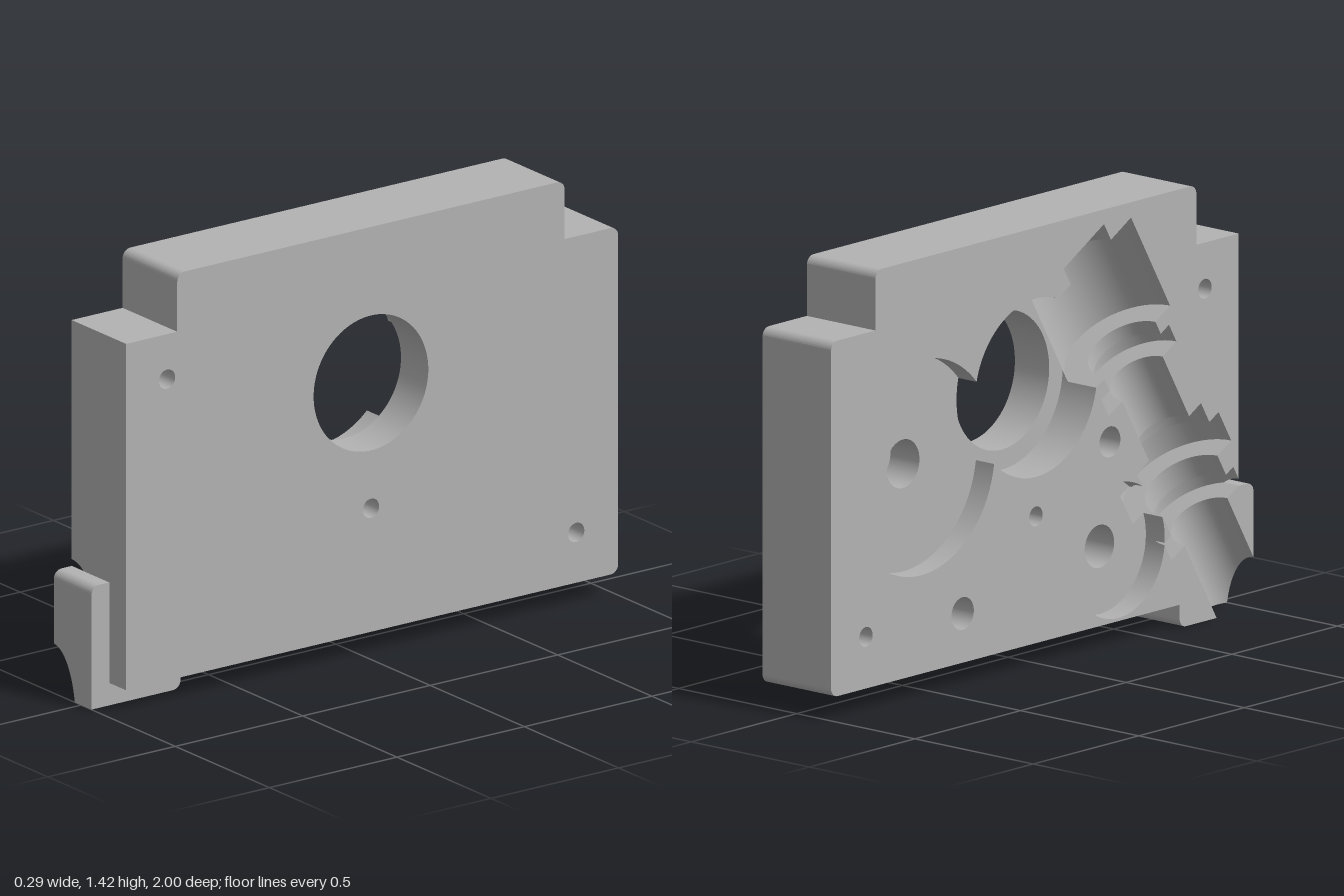
import * as THREE from 'three';

const V = (x, y, z) => new THREE.Vector3(x, y, z);
const T = 0.145; // half thickness of the plate; cavities open on the -x face
const EPS = 1e-6;

// Convex solid between two matching loops; sideNormal gives smooth side normals
function convex(a, b, sideNormal) {
  const n = a.length;
  const mid = V(0, 0, 0);
  [...a, ...b].forEach(p => mid.addScaledVector(p, 0.5 / n));
  const loops = [a, b, ...a.map((p, i) => [p, a[(i + 1) % n], b[(i + 1) % n], b[i]])];
  const faces = loops.map((loop, k) => {
    let pts = loop.slice();
    const m = pts.length;
    const plane = new THREE.Plane().setFromCoplanarPoints(pts[0], pts[Math.floor(m / 3)], pts[Math.floor(2 * m / 3)]);
    if (plane.distanceToPoint(mid) > 0) {
      plane.negate();
      pts.reverse();
    }
    return { pts, plane, normal: k > 1 && sideNormal ? sideNormal : () => plane.normal };
  });
  return { faces, planes: faces.map(f => f.plane) };
}

// Cylinder between two points
function cylinder(p, q, r, sides = 64) {
  const axis = q.clone().sub(p).normalize();
  const e1 = Math.abs(axis.x) > 0.9 ? V(0, 1, 0) : V(1, 0, 0);
  const e2 = axis.clone().cross(e1);
  const ring = c => Array.from({ length: sides }, (_, i) => {
    const t = (i + 0.5) / sides * Math.PI * 2;
    return c.clone().addScaledVector(e1, r * Math.cos(t)).addScaledVector(e2, r * Math.sin(t));
  });
  return convex(ring(p), ring(q), v => {
    const d = v.clone().sub(p);
    return d.addScaledVector(axis, -d.dot(axis)).normalize();
  });
}

// Slab in the z-y plane; radii for corners (z0,y0), (z1,y0), (z1,y1), (z0,y1)
function slab(z0, z1, y0, y1, x0, x1, radii) {
  const corners = [[z0, y0, 1, 1], [z1, y0, -1, 1], [z1, y1, -1, -1], [z0, y1, 1, -1]];
  const outline = [];
  corners.forEach(([z, y, sz, sy], k) => {
    const r = radii[k];
    if (!r) { outline.push([z, y]); return; }
    for (let i = 0; i <= 8; i++) {
      const t = Math.PI * (1 + k / 2 + i / 16);
      outline.push([z + sz * r + r * Math.cos(t), y + sy * r + r * Math.sin(t)]);
    }
  });
  const at = x => outline.map(([z, y]) => V(x, y, z));
  return convex(at(x0), at(x1));
}

// Split a polygon by a plane into [outside, inside]
function split(pts, plane) {
  const d = pts.map(p => plane.distanceToPoint(p));
  if (d.every(v => v <= EPS)) return [null, pts];
  if (d.every(v => v >= -EPS)) return [pts, null];
  const out = [], inn = [];
  pts.forEach((p, i) => {
    const j = (i + 1) % pts.length;
    if (d[i] >= -EPS) out.push(p);
    if (d[i] <= EPS) inn.push(p);
    if ((d[i] > EPS && d[j] < -EPS) || (d[i] < -EPS && d[j] > EPS)) {
      const c = p.clone().lerp(pts[j], d[i] / (d[i] - d[j]));
      out.push(c);
      inn.push(c);
    }
  });
  return [out, inn];
}

// Part of a polygon inside a convex solid, and the pieces outside it
function clip(pts, solid) {
  const outside = [];
  let inside = pts;
  for (const plane of solid.planes) {
    const [o, i] = split(inside, plane);
    if (o) outside.push(o);
    if (!i) return { inside: null, outside: [pts] };
    inside = i;
  }
  return { inside, outside };
}
const removeAll = (polys, solids) =>
  solids.reduce((list, s) => list.flatMap(p => clip(p, s).outside), polys);

// Surface of the joined solids with the cutters taken away
function carve(solids, cutters) {
  const pos = [], nor = [];
  const emit = (pts, normal, flip) => {
    for (let i = 1; i < pts.length - 1; i++) {
      const tri = flip ? [pts[0], pts[i + 1], pts[i]] : [pts[0], pts[i], pts[i + 1]];
      for (const p of tri) {
        const n = normal(p), s = flip ? -1 : 1;
        pos.push(p.x, p.y, p.z);
        nor.push(n.x * s, n.y * s, n.z * s);
      }
    }
  };
  solids.forEach(s => s.faces.forEach(f => {
    const others = solids.filter(o => o !== s);
    removeAll([f.pts], [...others, ...cutters]).forEach(p => emit(p, f.normal, false));
  }));
  cutters.forEach(c => c.faces.forEach(f => solids.forEach(s => {
    const { inside } = clip(f.pts, s);
    if (!inside) return;
    removeAll([inside], cutters.filter(o => o !== c)).forEach(p => emit(p, f.normal, true));
  })));
  const g = new THREE.BufferGeometry();
  g.setAttribute('position', new THREE.Float32BufferAttribute(pos, 3));
  g.setAttribute('normal', new THREE.Float32BufferAttribute(nor, 3));
  return g;
}

export function createModel() {
  const group = new THREE.Group();
  group.name = 'housingHalf';
  const grey = new THREE.MeshStandardMaterial({ color: 0xb2b2b2 });
  grey.name = 'plain grey';

  const r = 0.03;
  const solids = [
    slab(-1, 0.93, 0.075, 1.23, -T, T, [r, 0, 0, r]),       // main plate
    slab(-0.79, 0.73, 1.23, 1.425, -T, T, [0, 0, r, r]),    // raised top
    slab(0.93, 1, 0, 0.41, -T, 0.055, [0, 0, r, 0]),        // front lip
    slab(0.65, 0.93, 0, 0.075, -T, 0.055, [r, 0, 0, 0]),    // bottom lip
  ];

  // Round pockets and holes: z, y, radius, depth from the -x face
  const THROUGH = 0.5;
  const bores = [
    [-0.03, 0.905, 0.225, THROUGH], [-0.03, 0.905, 0.29, 0.145],
    [-0.574, 0.745, 0.35, 0.077], [-0.574, 0.745, 0.079, 0.2],
    [0.36, 0.305, 0.22, 0.08], [0.36, 0.305, 0.07, 0.2],
    [-0.377, 0.235, 0.053, 0.16], [0.32, 0.665, 0.05, 0.16],
    [0.77, 1.08, 0.032, THROUGH], [-0.03, 0.487, 0.032, THROUGH], [-0.835, 0.243, 0.032, THROUGH],
  ].map(([z, y, rad, depth]) =>
    cylinder(V(-0.6, y, z), V(-T + depth, y, z), rad, rad < 0.1 ? 32 : 72));

  // Stepped slanting shaft channel: start, end, radius along its axis
  const along = u => V(-T, 0.945 - 0.866 * u, 0.415 + 0.5 * u);
  const channel = [
    [-0.436, -0.37, 0.11], [-0.37, 0, 0.22], [0, 0.05, 0.14], [0.05, 0.12, 0.185],
    [0.12, 0.37, 0.11], [0.37, 0.45, 0.175], [0.45, 0.57, 0.225], [0.57, 0.65, 0.15],
    [0.65, 0.72, 0.19], [0.72, 1.5, 0.117],
  ].map(([a, b, rad]) => cylinder(along(a), along(b), rad));

  const plate = new THREE.Mesh(carve(solids, [...bores, ...channel]), grey);
  plate.name = 'housingPlate';
  group.add(plate);
  return group;
}
